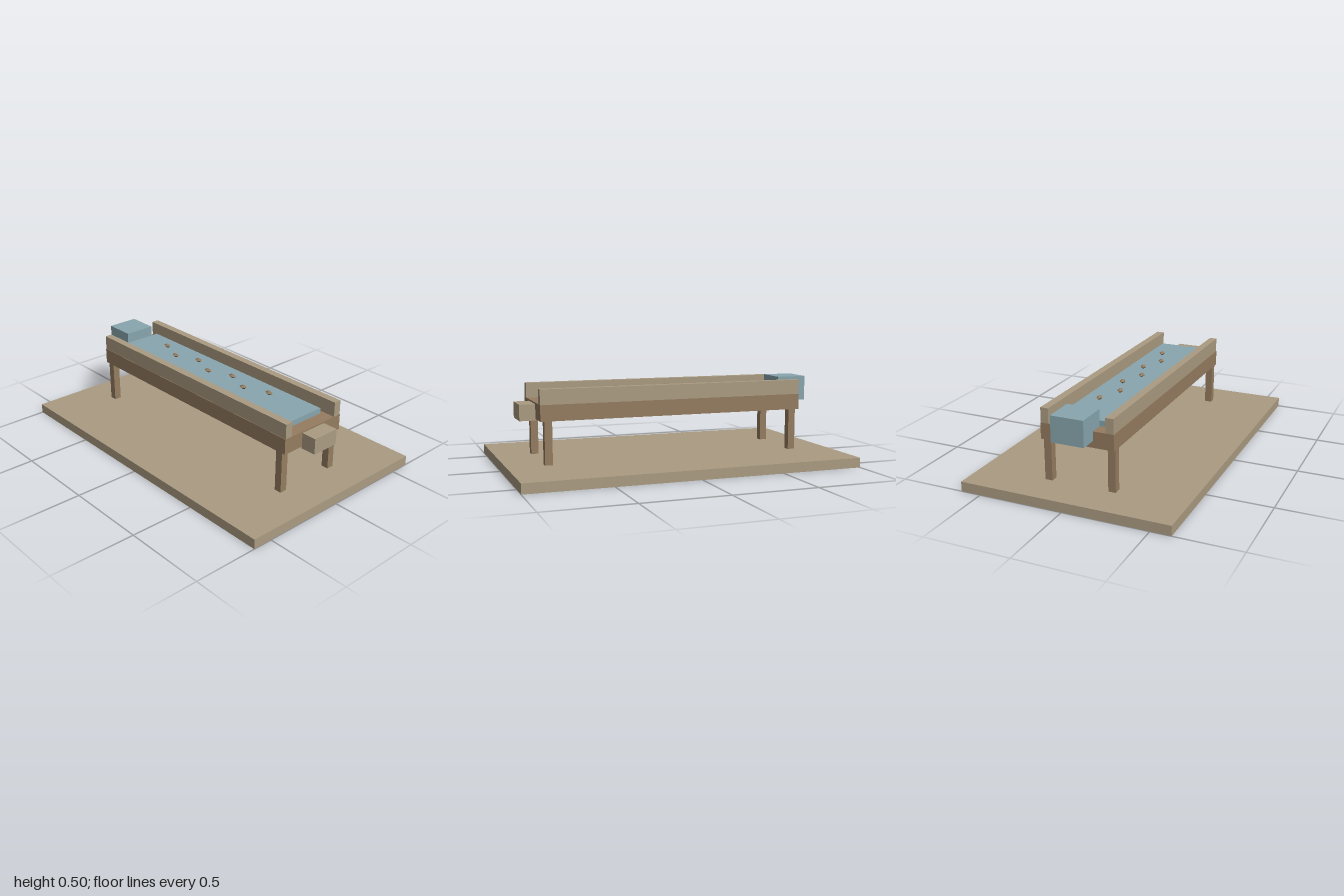
import * as THREE from 'three';

export function createModel() {
  const model = new THREE.Group();
  model.name = 'waterTrough';

  const material = (name, color) => {
    const m = new THREE.MeshStandardMaterial({ color });
    m.name = name;
    return m;
  };
  const tan = material('pale wood', 0xab9c82);
  const brown = material('brown wood', 0x957c60);
  const blue = material('water blue', 0x88a6ae);

  // Box given by its extents along each axis
  const box = (name, mat, [x0, x1], [y0, y1], [z0, z1]) => {
    const mesh = new THREE.Mesh(new THREE.BoxGeometry(x1 - x0, y1 - y0, z1 - z0), mat);
    mesh.position.set((x0 + x1) / 2, (y0 + y1) / 2, (z0 + z1) / 2);
    mesh.name = name;
    model.add(mesh);
  };

  box('base', tan, [-1, 1], [0, 0.058], [-0.618, 0.618]);
  box('troughBed', brown, [-0.808, 0.808], [0.307, 0.4], [-0.217, 0.217]);
  box('waterSlab', blue, [-0.729, 0.729], [0.4, 0.433], [-0.142, 0.142]);
  box('inletTank', blue, [-0.914, -0.728], [0.347, 0.497], [-0.096, 0.096]);
  box('outletBlock', tan, [0.805, 0.9], [0.297, 0.391], [-0.085, 0.085]);

  // Side rails and legs, mirrored front to back
  for (const s of [-1, 1]) {
    const z = s * 0.191;
    box('sideRail', tan, [-0.808, 0.808], [0.4, 0.487], [z - 0.023, z + 0.023]);
    for (const x of [-0.763, 0.763]) {
      box('leg', brown, [x - 0.022, x + 0.022], [0.058, 0.307], [z - 0.022, z + 0.022]);
    }
  }

  // Small diamond floats in a zigzag above the water
  const diamond = new THREE.OctahedronGeometry(1).scale(0.03, 0.014, 0.018);
  diamond.computeVertexNormals();
  for (let i = 0; i < 7; i++) {
    const mesh = new THREE.Mesh(diamond, brown);
    mesh.position.set(-0.476 + i * 0.1525, 0.459, i % 2 ? 0.028 : -0.028);
    mesh.name = 'float';
    model.add(mesh);
  }

  return model;
}
